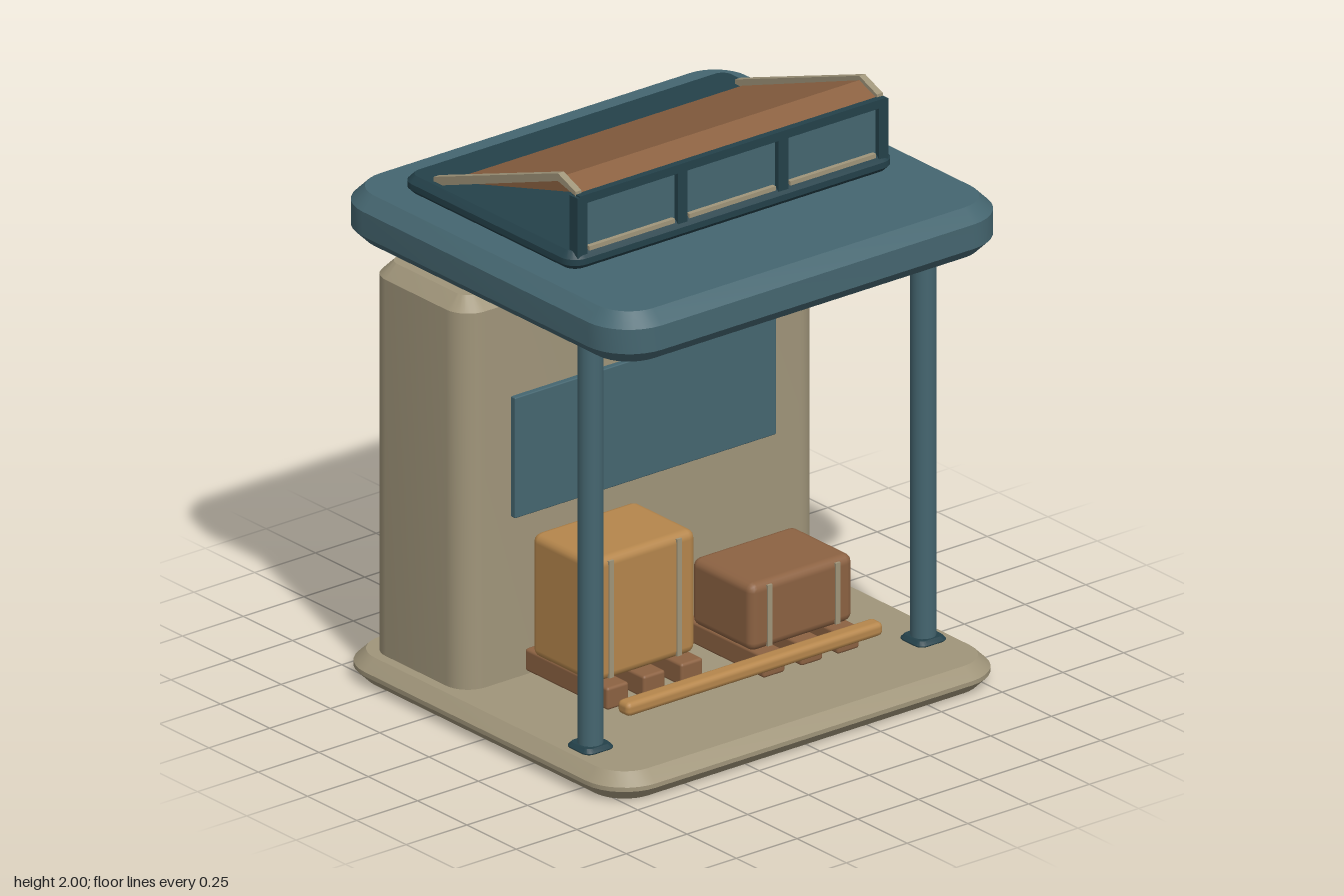
import * as THREE from 'three';
import { toCreasedNormals } from 'three/addons/utils/BufferGeometryUtils.js';
import { RoundedBoxGeometry } from 'three/addons/geometries/RoundedBoxGeometry.js';

const material = (name, color) => {
  const m = new THREE.MeshStandardMaterial({ color });
  m.name = name;
  return m;
};

export function createModel() {
  const teal = material('teal paint', 0x456670);
  const darkTeal = material('dark teal paint', 0x24414a);
  const tan = material('tan plaster', 0xa0957a);
  const brown = material('brown', 0x8c6242);
  const ochre = material('ochre', 0xb5864c);

  const model = new THREE.Group();
  model.name = 'loadingKiosk';

  const add = (name, geometry, mat, x = 0, y = 0, z = 0) => {
    const mesh = new THREE.Mesh(geometry, mat);
    mesh.name = name;
    mesh.position.set(x, y, z);
    model.add(mesh);
    return mesh;
  };

  // Horizontal slab with rounded plan corners and chamfered top and bottom rims
  const slab = (name, mat, w, d, y0, y1, z, radius, chamfer) => {
    const a = w / 2 - chamfer, b = d / 2 - chamfer, r = radius - chamfer;
    const s = new THREE.Shape();
    s.absarc(a - r, b - r, r, 0, Math.PI / 2);
    s.absarc(-a + r, b - r, r, Math.PI / 2, Math.PI);
    s.absarc(-a + r, -b + r, r, Math.PI, Math.PI * 1.5);
    s.absarc(a - r, -b + r, r, Math.PI * 1.5, Math.PI * 2);
    s.closePath();
    const g = new THREE.ExtrudeGeometry(s, {
      depth: y1 - y0 - 2 * chamfer, bevelEnabled: true, bevelSegments: 1,
      bevelSize: chamfer, bevelThickness: chamfer, curveSegments: 4,
    });
    g.rotateX(-Math.PI / 2);
    return add(name, toCreasedNormals(g, 0.7), mat, 0, y0 + chamfer, z);
  };

  const box = (name, mat, x0, x1, y0, y1, z0, z1, radius = 0) => {
    const size = [x1 - x0, y1 - y0, z1 - z0];
    const g = radius ? new RoundedBoxGeometry(...size, 2, radius) : new THREE.BoxGeometry(...size);
    return add(name, g, mat, (x0 + x1) / 2, (y0 + y1) / 2, (z0 + z1) / 2);
  };

  // Side profile in (z, y), extruded across x
  const acrossX = (name, mat, points, x0, x1) => {
    const s = new THREE.Shape(points.map(([z, y]) => new THREE.Vector2(-z, y)));
    const g = new THREE.ExtrudeGeometry(s, { depth: x1 - x0, bevelEnabled: false });
    g.rotateY(Math.PI / 2);
    return add(name, g, mat, x0, 0, 0);
  };

  // Main masses
  slab('basePlatform', tan, 1.62, 1.44, 0, 0.095, 0, 0.16, 0.04);
  slab('rearCabin', tan, 1.47, 0.485, 0.05, 1.45, -0.3925, 0.09, 0.045);
  slab('canopyRoof', teal, 1.62, 1.48, 1.525, 1.70, 0, 0.17, 0.045);
  box('cabinWindow', teal, -0.54, 0.535, 0.66, 1.08, -0.16, -0.13, 0.004);

  // Front posts with foot plates
  for (const [side, name] of [[1, 'left'], [-1, 'right']]) {
    add(name + 'Post', new THREE.CylinderGeometry(0.042, 0.042, 1.47, 16), teal, side * 0.685, 0.815, 0.43);
    slab(name + 'PostFoot', darkTeal, 0.12, 0.12, 0.085, 0.112, 0.43, 0.03, 0.012).position.x = side * 0.685;
  }

  // Skylight curb, front frame and panes
  slab('skylightCurb', darkTeal, 1.34, 0.875, 1.695, 1.76, -0.1175, 0.06, 0.022);
  const mullions = [-0.62, -0.207, 0.207, 0.62];
  mullions.forEach((x) => box('skylightMullion', darkTeal, x - 0.02, x + 0.02, 1.74, 1.95, 0.27, 0.31));
  box('skylightHeader', darkTeal, -0.63, 0.63, 1.925, 1.955, 0.27, 0.31);
  for (let i = 0; i < 3; i++) {
    const a = mullions[i] + 0.02, b = mullions[i + 1] - 0.02;
    box('skylightPane', teal, a, b, 1.75, 1.93, 0.283, 0.292);
    box('skylightSill', tan, a + 0.01, b - 0.01, 1.755, 1.77, 0.292, 0.308);
  }

  // Sloped skylight cover and its edge rails
  acrossX('skylightCover', brown, [[0.285, 1.955], [0.2, 1.985], [-0.395, 1.765]], -0.61, 0.61);
  for (const x of [-0.62, 0.62]) {
    acrossX('coverRail', tan, [
      [0.29, 1.95], [0.29, 1.965], [0.2, 2.0], [-0.43, 1.775], [-0.43, 1.755], [-0.395, 1.757], [0.2, 1.973],
    ], x - 0.012, x + 0.012);
  }

  // Crates with straps, each on three pallet runners
  const crates = [
    { name: 'tallCrate', mat: ochre, x: [-0.505, -0.075], y: [0.185, 0.615], z: [-0.095, 0.22],
      straps: [-0.43, -0.15], runners: [-0.44, -0.29, -0.135], rz: [-0.15, 0.27] },
    { name: 'lowCrate', mat: brown, x: [0.05, 0.475], y: [0.185, 0.42], z: [0.03, 0.34],
      straps: [0.125, 0.405], runners: [0.11, 0.265, 0.415], rz: [-0.02, 0.385] },
  ];
  for (const c of crates) {
    box(c.name, c.mat, ...c.x, ...c.y, ...c.z, 0.03);
    c.straps.forEach((x) => box(c.name + 'Strap', tan, x - 0.01, x + 0.01, c.y[0] + 0.01, c.y[1] - 0.012, c.z[1] - 0.004, c.z[1] + 0.004));
    c.runners.forEach((x) => box('palletRunner', brown, x - 0.045, x + 0.045, 0.11, 0.188, ...c.rz, 0.01));
  }

  // Low guard rail in front of the crates
  box('guardRail', ochre, -0.53, 0.525, 0.15, 0.198, 0.37, 0.43, 0.018);

  return model;
}
